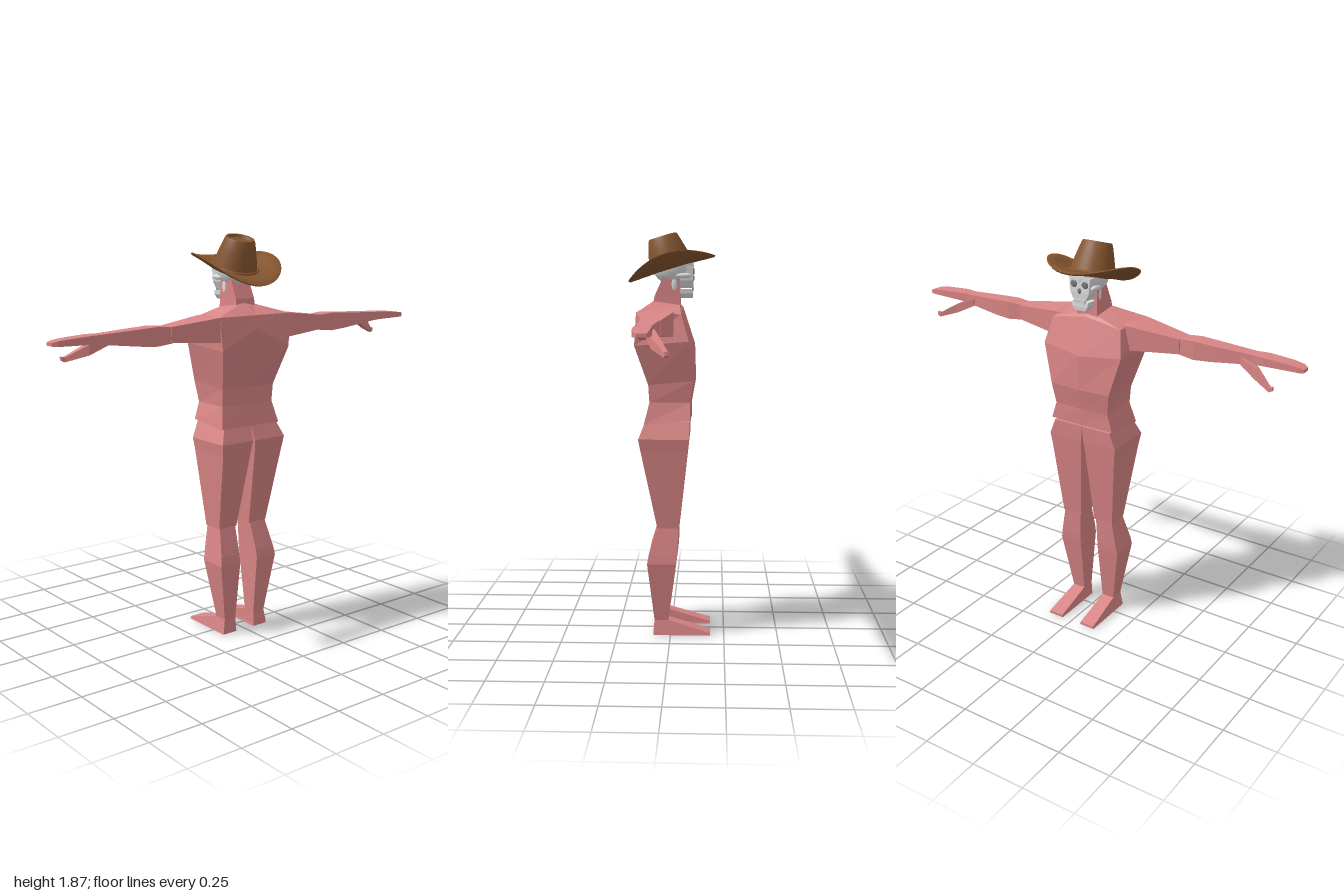
import * as THREE from 'three';
import { toCreasedNormals } from 'three/addons/utils/BufferGeometryUtils.js';

const mat = (name, color, flatShading = false) => {
  const m = new THREE.MeshStandardMaterial({ color, flatShading });
  m.name = name;
  return m;
};

// Closed solid through rings of points; turned right side out by its signed volume.
function loft(rings, mirror = 1) {
  const R = rings.map(r => r.map(p => new THREE.Vector3(p[0] * mirror, p[1], p[2])));
  const n = R[0].length, tris = [];
  for (let i = 0; i < R.length - 1; i++) for (let j = 0; j < n; j++) {
    const k = (j + 1) % n, a = R[i][j], b = R[i][k], c = R[i + 1][k], d = R[i + 1][j];
    tris.push([a, b, c], [a, c, d]);
  }
  const cap = (r, flip) => {
    const c = r.reduce((s, p) => s.add(p), new THREE.Vector3()).divideScalar(n);
    r.forEach((p, j) => tris.push(flip ? [c, r[(j + 1) % n], p] : [c, p, r[(j + 1) % n]]));
  };
  cap(R[0], true);
  cap(R[R.length - 1], false);
  const mid = R.flat().reduce((s, p) => s.add(p), new THREE.Vector3()).divideScalar(R.length * n);
  let volume = 0;
  for (const [a, b, c] of tris) {
    const u = a.clone().sub(mid), v = b.clone().sub(mid), w = c.clone().sub(mid);
    volume += u.dot(v.cross(w));
  }
  const pts = tris.flatMap(t => (volume < 0 ? [t[0], t[2], t[1]] : t));
  const g = new THREE.BufferGeometry().setFromPoints(pts);
  g.computeVertexNormals();
  return g;
}

// Rectangular rings: level (across y) and slice (across x)
const level = (y, x0, x1, z0, z1) => [[x0, y, z0], [x1, y, z0], [x1, y, z1], [x0, y, z1]];
const slice = (x, y0, y1, z0, z1) => [[x, y0, z0], [x, y1, z0], [x, y1, z1], [x, y0, z1]];

// Six-sided body ring: back centre, back corner, front corner, front centre
const bodyRing = ([yb, zb], [bx, by, bz], [fx, fy, fz], [yf, zf]) =>
  [[0, yb, zb], [bx, by, bz], [fx, fy, fz], [0, yf, zf], [-fx, fy, fz], [-bx, by, bz]];

export function createModel() {
  const model = new THREE.Group();
  model.name = 'figure';
  const skin = mat('skin', 0xd98585, true);
  const leather = mat('leather', 0x85552f);
  const bone = mat('bone', 0xdcdcdc);
  const hollow = mat('hollow', 0x77777a);
  const add = (parent, name, geometry, material, pos) => {
    const m = new THREE.Mesh(geometry, material);
    m.name = name;
    if (pos) m.position.set(...pos);
    parent.add(m);
    return m;
  };

  // Torso and neck
  add(model, 'torso', loft([
    bodyRing([1.0, 0.12], [0.165, 1.0, 0.12], [0.165, 1.02, -0.09], [1.02, -0.095]),
    bodyRing([1.1, 0.097], [0.143, 1.1, 0.095], [0.14, 1.1, -0.09], [1.1, -0.097]),
    bodyRing([1.18, 0.103], [0.147, 1.18, 0.1], [0.155, 1.2, -0.105], [1.2, -0.115]),
    bodyRing([1.45, 0.16], [0.19, 1.36, 0.16], [0.205, 1.38, -0.085], [1.36, -0.11]),
    bodyRing([1.51, 0.15], [0.2, 1.51, 0.15], [0.18, 1.5, -0.05], [1.53, -0.055]),
    bodyRing([1.565, 0.07], [0.05, 1.555, 0.07], [0.05, 1.54, -0.04], [1.54, -0.045]),
  ]), skin);
  add(model, 'neck', loft([
    level(1.5, -0.055, 0.055, -0.045, 0.09),
    level(1.58, -0.052, 0.052, -0.042, 0.075),
    level(1.68, -0.05, 0.05, -0.04, 0.03),
  ]), skin);

  // Limbs, mirrored
  for (const s of [1, -1]) {
    const side = s > 0 ? 'left' : 'right';
    const limb = (name, rings) => add(model, side + name, loft(rings, s), skin);
    limb('UpperArm', [
      slice(0.12, 1.41, 1.51, -0.02, 0.14),
      slice(0.2, 1.4, 1.51, -0.015, 0.15),
      slice(0.43, 1.415, 1.483, 0.03, 0.112),
    ]);
    limb('Forearm', [
      slice(0.42, 1.412, 1.482, 0.038, 0.108),
      slice(0.5, 1.404, 1.488, 0.03, 0.112),
      slice(0.58, 1.41, 1.484, 0.034, 0.112),
      slice(0.77, 1.432, 1.475, 0.05, 0.108),
    ]);
    limb('Hand', [
      slice(0.76, 1.432, 1.475, 0.05, 0.108),
      slice(0.82, 1.438, 1.475, 0.045, 0.118),
      slice(0.93, 1.44, 1.468, 0.047, 0.116),
      slice(0.98, 1.44, 1.462, 0.05, 0.108),
      slice(1.0, 1.442, 1.456, 0.055, 0.095),
    ]);
    limb('Thumb', [
      slice(0.72, 1.425, 1.46, 0.04, 0.075),
      slice(0.8, 1.385, 1.43, 0.015, 0.05),
      slice(0.885, 1.358, 1.378, -0.022, -0.004),
      slice(0.9, 1.366, 1.382, -0.022, -0.008),
    ]);
    limb('Thigh', [
      level(0.515, 0.038, 0.138, -0.04, 0.06),
      level(0.88, 0.012, 0.172, -0.08, 0.135),
      level(0.935, 0.006, 0.18, -0.086, 0.145),
      level(1.01, 0.0, 0.15, -0.088, 0.115),
    ]);
    limb('Calf', [
      level(0.07, 0.055, 0.118, 0.01, 0.075),
      level(0.35, 0.05, 0.162, -0.028, 0.107),
      level(0.39, 0.05, 0.156, -0.032, 0.1),
      level(0.525, 0.045, 0.133, -0.037, 0.058),
    ]);
    limb('Foot', [
      level(0, 0.052, 0.13, -0.186, 0.08),
      level(0.012, 0.054, 0.128, -0.186, 0.08),
      level(0.07, 0.055, 0.118, 0.01, 0.075),
    ]);
  }

  // Skull, facing -z
  const head = new THREE.Group();
  head.name = 'skull';
  model.add(head);
  const ball = (name, r, pos, material = bone) => {
    const m = add(head, name, new THREE.SphereGeometry(1, 24, 16), material, pos);
    m.scale.set(...r);
    return m;
  };
  ball('cranium', [0.074, 0.085, 0.095], [0, 1.715, -0.008]);
  add(head, 'upperJaw', loft([
    level(1.615, -0.03, 0.03, -0.1, -0.03),
    level(1.65, -0.048, 0.048, -0.102, -0.02),
    level(1.72, -0.055, 0.055, -0.1, 0),
  ]), bone);
  add(head, 'lowerJaw', loft([
    level(1.57, -0.026, 0.026, -0.098, -0.04),
    level(1.59, -0.04, 0.04, -0.1, -0.01),
    level(1.61, -0.042, 0.042, -0.098, -0.005),
  ]), bone);
  for (const s of [1, -1]) {
    ball('cheekbone', [0.012, 0.012, 0.04], [s * 0.056, 1.672, -0.055]);
    ball('jawHinge', [0.008, 0.035, 0.016], [s * 0.046, 1.63, -0.015]);
    ball('eyeSocket', [0.017, 0.016, 0.004], [s * 0.029, 1.69, -0.102], hollow);
  }
  ball('noseHollow', [0.009, 0.013, 0.004], [0, 1.66, -0.102], hollow);
  for (let i = -3; i <= 3; i++) {
    for (const y of [1.619, 1.605])
      add(head, 'tooth', new THREE.BoxGeometry(0.007, 0.012, 0.008), bone, [i * 0.008, y, -0.1]);
  }
  add(head, 'mouthGap', new THREE.BoxGeometry(0.058, 0.006, 0.006), hollow, [0, 1.612, -0.099]);

  // Hat, tilted back
  const hat = new THREE.Group();
  hat.name = 'hat';
  hat.position.set(0, 1.71, 0);
  hat.rotation.x = 0.29;
  model.add(hat);
  const lathe = pts => new THREE.LatheGeometry(pts.map(p => new THREE.Vector2(...p)), 40);
  add(hat, 'crown', toCreasedNormals(lathe([
    [0.085, -0.005], [0.104, 0], [0.096, 0.04], [0.084, 0.085], [0.07, 0.135],
    [0.064, 0.145], [0.056, 0.144], [0.05, 0.132], [0, 0.127],
  ]), 0.7), leather);
  const band = add(hat, 'band', new THREE.TorusGeometry(0.104, 0.008, 8, 40), leather, [0, 0.008, 0]);
  band.rotation.x = Math.PI / 2;
  // Brim disc with its sides curled up
  const brim = lathe([
    [0.08, -0.008], [0.12, -0.008], [0.165, -0.007], [0.2, -0.006], [0.209, 0],
    [0.2, 0.006], [0.165, 0.006], [0.12, 0.006], [0.08, 0.006], [0.08, -0.008],
  ]);
  const p = brim.attributes.position;
  for (let i = 0; i < p.count; i++) {
    const x = p.getX(i), z = p.getZ(i), r = Math.hypot(x, z);
    const out = Math.max(0, (r - 0.1) / 0.11);
    p.setY(i, p.getY(i) + out * (0.062 * (x / r) ** 2 - 0.008 * (z / r) ** 2));
  }
  brim.computeVertexNormals();
  add(hat, 'brim', toCreasedNormals(brim, 0.9), leather);
  return model;
}
